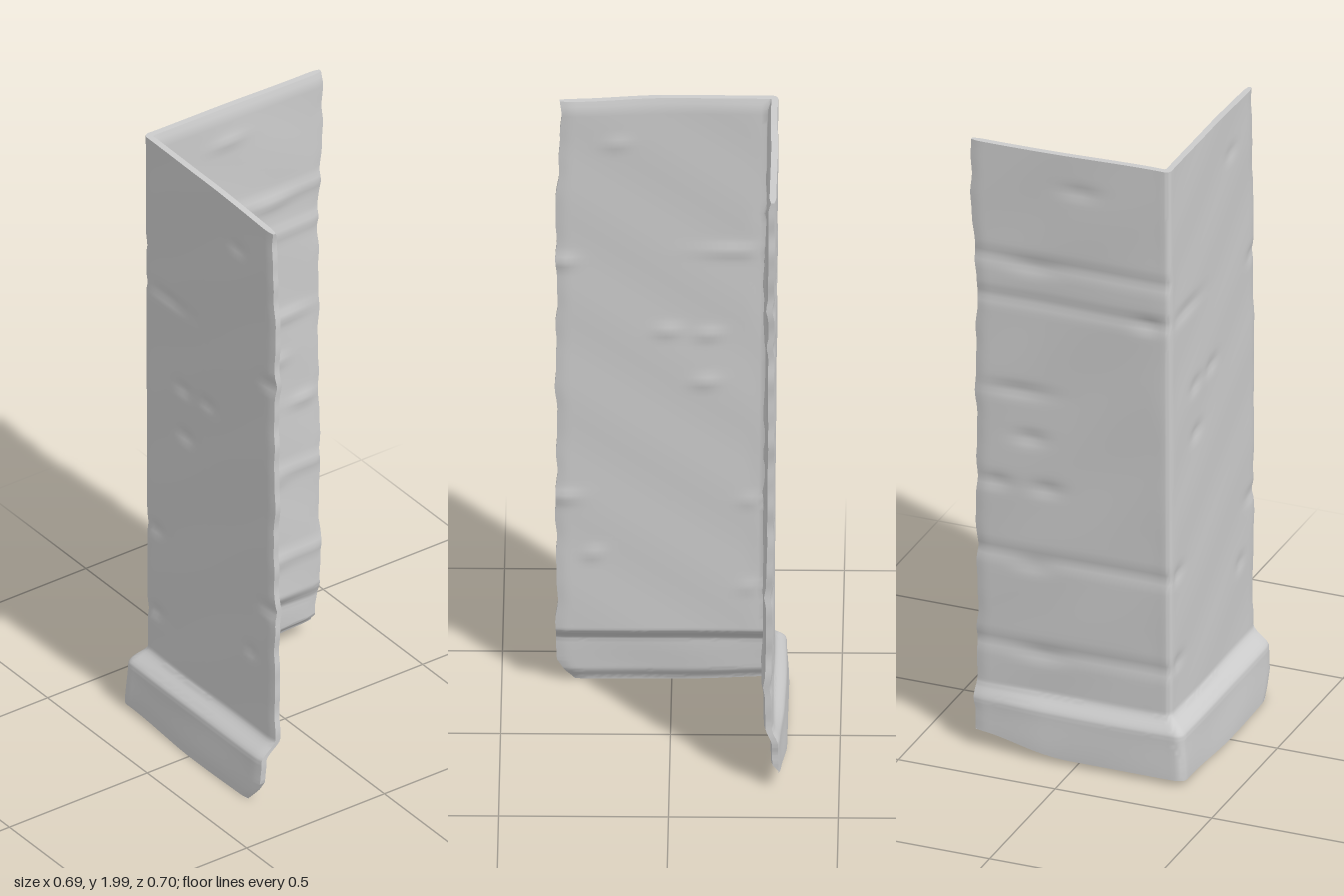
import * as THREE from 'three';
import { toCreasedNormals } from 'three/addons/utils/BufferGeometryUtils.js';

const { clamp, smoothstep, lerp } = THREE.MathUtils;
const ROWS = 140, COLS = 40, ARC = 5, THICK = 0.028;

// Pressed dents: wall (0 side, 1 front), position along it, height, width, depth
const DENTS = [
  [1, -0.18, 1.49, 0.1, 0.007], [1, -0.11, 1.21, 0.04, 0.007], [1, 0.01, 1.22, 0.04, 0.007],
  [1, -0.1, 1.05, 0.04, 0.007], [1, 0.23, 0.47, 0.03, 0.006], [1, 0.16, 1.85, 0.04, 0.005],
  [1, 0.32, 1.45, 0.04, 0.008], [1, 0.32, 0.66, 0.05, 0.008], [1, -0.26, 0.65, 0.05, 0.008],
  [1, -0.26, 0.36, 0.05, 0.008], [0, -0.15, 1.6, 0.08, 0.007], [0, 0.22, 1.48, 0.05, 0.008],
  [0, -0.2, 1.19, 0.1, 0.008], [0, -0.16, 1.04, 0.05, 0.008], [0, -0.11, 0.88, 0.05, 0.008],
  [0, -0.27, 0.88, 0.05, 0.008], [0, -0.15, 0.62, 0.06, 0.006], [0, -0.12, 0.33, 0.08, 0.007],
  [0, 0, 1.88, 0.06, 0.006],
];

// Gentle waviness of the hammered sheet, with the dents pushed in
function relief(wall, s, y) {
  let r = 0.0015 * Math.sin(9 * s + 4 * y + wall) + 0.001 * Math.sin(19 * y - 13 * s + 2 * wall);
  for (const [w, ds, dy, width, depth] of DENTS) {
    if (w !== wall) continue;
    r -= depth * Math.exp(-(((s - ds) / width) ** 2) - ((y - dy) / 0.02) ** 2);
  }
  return r;
}

// Ragged cut edge and small nicks down the bend
const ragged = (y) => 0.002 * Math.sin(13 * y) + 0.002 * Math.sin(31 * y + 1) + 0.0015 * Math.sin(57 * y);
const nicks = (y) => [1.62, 1.49, 0.65, 0.35].reduce((sum, at) => sum + 0.006 * Math.exp(-(((y - at) / 0.02) ** 2)), 0);

// Outward step of the skirt at the foot
const flare = (y) => 0.05 * (1 - smoothstep(y, 0.155, 0.215)) + 0.009 * (1 - smoothstep(y, 0, 0.17));

// Sheet thins to a soft rim at the top and foot
const thickness = (y) => THICK * (1 - 0.3 * smoothstep(y, 1.97, 2) - 0.7 * (1 - smoothstep(y, 0, 0.05)));

// One skin of the angle at height y, from the back end round the corner to the right end
function skin(y, inner) {
  const pts = [];
  const inset = inner ? thickness(y) : 0;
  const d = flare(y), lean = 0.012 * (y / 2 - 0.3);
  const cx = -0.306 - d * 0.72 - lean + inset + nicks(y), cz = 0.287 + d - inset;
  const radius = inner ? 0.006 : 0.018 + 0.2 * d;
  const zBack = -0.331 - 0.018 * smoothstep(y, 1.5, 1.9) + ragged(y + 3);
  const xEnd = 0.339 + ragged(y) - 0.013 * smoothstep(y, 1.6, 2) - 0.055 * clamp((0.08 - y) / 0.08, 0, 1);
  const add = (wall, x, z) => {
    const s = wall ? x : z;
    // Ends are pinched so that the cut edges look rounded
    const toEnd = wall ? xEnd - x : z - zBack;
    const pinch = 0.005 * (1 - smoothstep(toEnd, 0, 0.025)) * (inner ? 1 : -1);
    const r = relief(wall, s, y) * smoothstep(wall ? s - cx : cz - s, 0, 0.06) + pinch;
    const back = 1 - smoothstep(z, -0.34, -0.1);
    const taper = (0.33 * d - 0.003) * back;
    // Uneven lower and upper rims
    const foot = wall ? 0.006 + 0.014 * smoothstep(-x, 0, 0.34) : 0.022 + 0.038 * smoothstep(-z, 0.02, 0.33);
    const rim = wall ? 1.998 - 0.014 * smoothstep(x, 0, 0.33) : 1.998 - 0.01 * smoothstep(-z, -0.28, 0.3);
    let yy = y < 0.15 ? lerp(foot, 0.15, y / 0.15) : y;
    if (y > 1.8) yy = lerp(1.8, rim, (y - 1.8) / 0.2);
    pts.push(wall ? [x, yy, z + r] : [x + taper - r, yy, z]);
  };
  for (let i = 0; i <= COLS; i++) add(0, cx, lerp(zBack, cz - radius, i / COLS));
  for (let i = 1; i < ARC; i++) {
    const a = (i / ARC) * Math.PI / 2;
    add(i < ARC / 2 ? 0 : 1, cx + radius * (1 - Math.cos(a)), cz - radius * (1 - Math.sin(a)));
  }
  for (let i = 0; i <= COLS; i++) add(1, lerp(cx + radius, xEnd, i / COLS), cz);
  return pts;
}

// Closed shell: outer skin, end edge, inner skin, end edge; then both rims
function sheetGeometry() {
  const position = [], index = [];
  let n = 0;
  for (let j = 0; j <= ROWS; j++) {
    const t = j / ROWS;
    // Rows are closer together around the skirt
    const y = t < 0.25 ? t : lerp(0.25, 2, (t - 0.25) / 0.75);
    const loop = [...skin(y, false), ...skin(y, true).reverse()];
    n = loop.length;
    position.push(...loop.flat());
  }
  for (let j = 0; j < ROWS; j++) {
    for (let i = 0; i < n; i++) {
      const a = j * n + i, b = j * n + (i + 1) % n;
      index.push(a, b, b + n, a, b + n, a + n);
    }
  }
  const top = ROWS * n;
  for (let i = 0; i < n / 2 - 1; i++) {
    const a = i, b = i + 1, c = n - 2 - i, d = n - 1 - i;
    index.push(top + a, top + b, top + c, top + a, top + c, top + d);
    index.push(a, c, b, a, d, c);
  }
  const geo = new THREE.BufferGeometry();
  geo.setAttribute('position', new THREE.Float32BufferAttribute(position, 3));
  geo.setIndex(index);
  return toCreasedNormals(geo, 0.8);
}

export function createModel() {
  const group = new THREE.Group();
  group.name = 'cornerGuard';
  const sheet = new THREE.Mesh(sheetGeometry(), new THREE.MeshStandardMaterial({ color: 0xcccccc }));
  sheet.name = 'bentSheetWithSkirt';
  group.add(sheet);
  return group;
}
